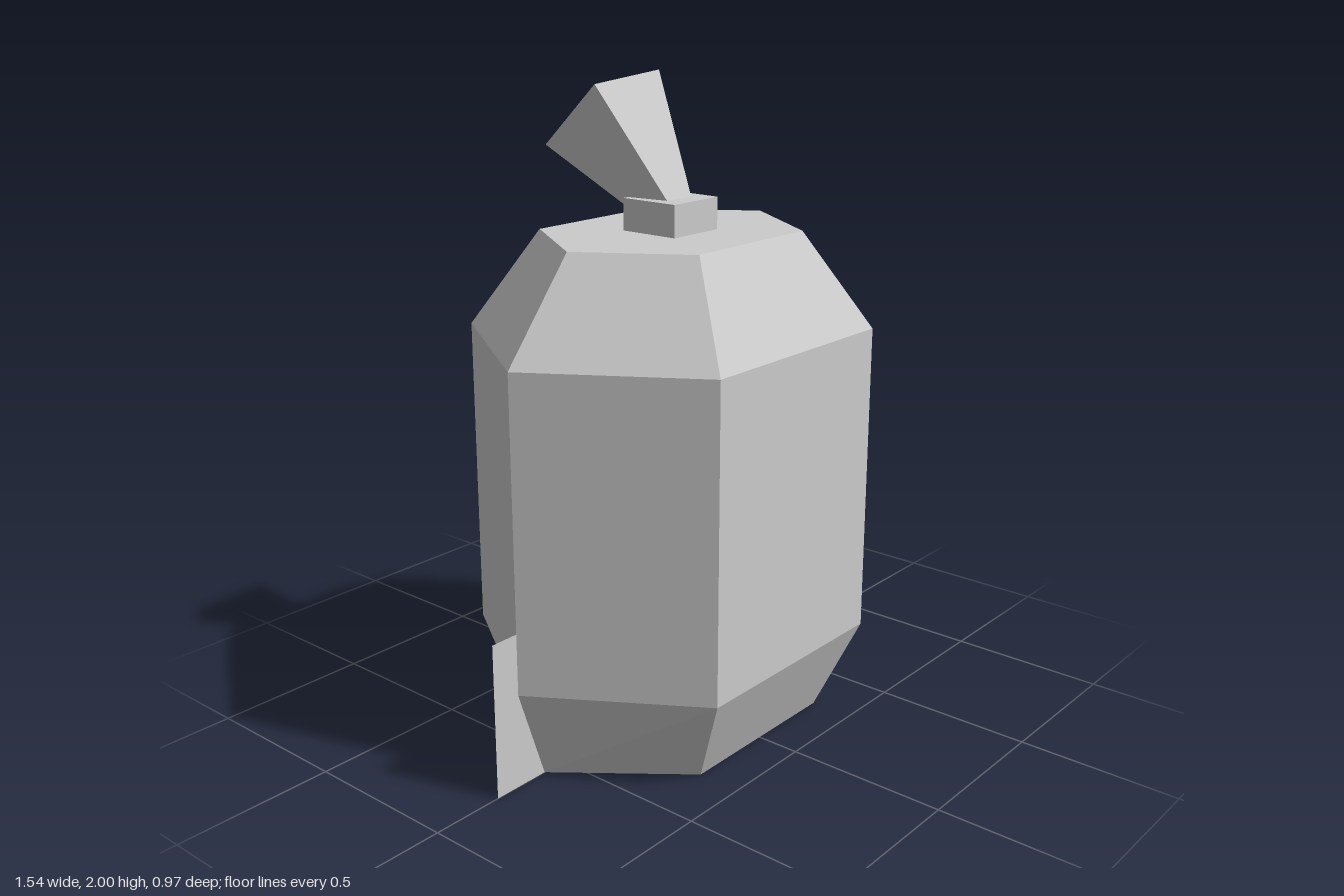
import * as THREE from 'three';

const grey = (side = THREE.FrontSide) =>
  new THREE.MeshStandardMaterial({ color: 0xcccccc, flatShading: true, side });

// Skin a stack of rings (each counter-clockwise seen from the far end) and cap both ends.
function loft(rings) {
  const n = rings[0].length;
  const pos = [];
  const tri = (a, b, c) => pos.push(...a, ...b, ...c);
  for (let r = 0; r < rings.length - 1; r++) {
    const lo = rings[r], hi = rings[r + 1];
    for (let i = 0; i < n; i++) {
      const j = (i + 1) % n;
      tri(lo[i], lo[j], hi[j]);
      tri(lo[i], hi[j], hi[i]);
    }
  }
  const first = rings[0], last = rings[rings.length - 1];
  for (let k = 1; k < n - 1; k++) {
    tri(first[0], first[k + 1], first[k]);
    tri(last[0], last[k], last[k + 1]);
  }
  const g = new THREE.BufferGeometry();
  g.setAttribute('position', new THREE.Float32BufferAttribute(pos, 3));
  g.computeVertexNormals();
  return g;
}

// Stretched hexagon: points at x = ±a, flat sides at z = ±d with half width b.
const hexRing = (y, a, b, d) =>
  [[a, y, 0], [b, y, -d], [-b, y, -d], [-a, y, 0], [-b, y, d], [b, y, d]];

export function createModel() {
  const model = new THREE.Group();
  const add = (name, geometry, side) => {
    const mesh = new THREE.Mesh(geometry, grey(side));
    mesh.name = name;
    model.add(mesh);
    return mesh;
  };

  // Six-sided body, tapered at the foot and the shoulder
  add('body', loft([
    hexRing(0, 0.58, 0.29, 0.363),
    hexRing(0.292, 0.677, 0.365, 0.483),
    hexRing(1.258, 0.677, 0.365, 0.483),
    hexRing(1.55, 0.44, 0.24, 0.306),
  ]));

  // Flat sheet through the foot that shows as a fin on each side
  add('sideFins', new THREE.PlaneGeometry(1.54, 0.485), THREE.DoubleSide)
    .position.set(0, 0.2425, 0);

  // Square neck on top
  add('neck', new THREE.BoxGeometry(0.196, 0.097, 0.196)).position.set(0, 1.598, 0);

  // Flared tip leaning backwards, narrowing into the neck
  const wide = [
    [-0.17, 1.976, -0.14], [0.115, 2.0, -0.143],
    [0.134, 1.81, -0.355], [-0.154, 1.786, -0.358],
  ];
  const apex = [0.012, 1.447, 0.14];
  const narrow = wide.map((p) => p.map((v, i) => THREE.MathUtils.lerp(v, apex[i], 0.66)));
  add('flaredTip', loft([narrow, wide]));

  return model;
}
